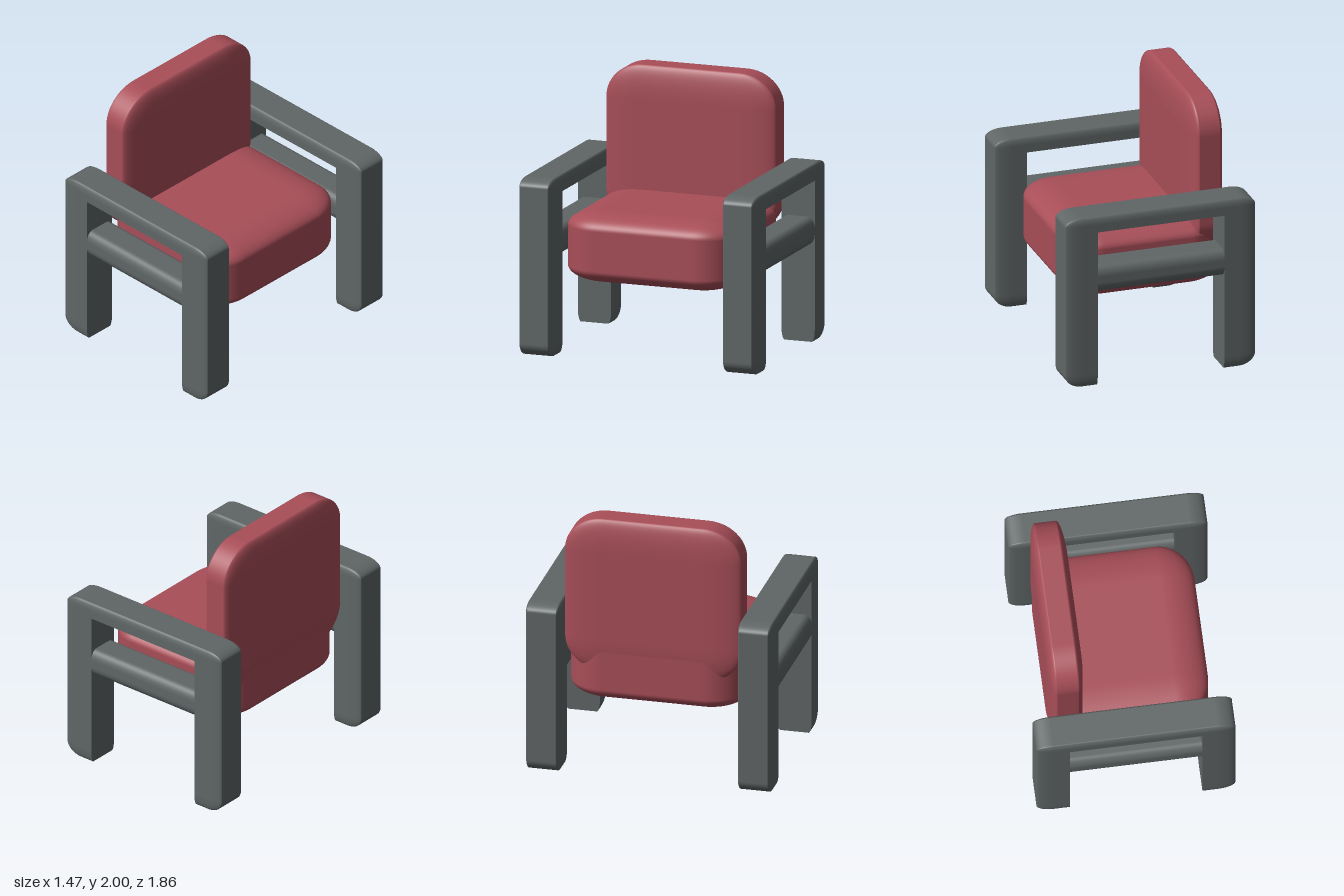
import * as THREE from 'three';

const STEPS = 8;

// Grid positions along one axis: rounded zone, flat middle, rounded zone.
// Each entry holds the core position c, the radius r and the signed offset v in radii.
function axis([lo, hi], [rLo, rHi]) {
  const list = [];
  if (rLo > 0) {
    for (let i = STEPS; i >= 1; i--) list.push({ c: lo + rLo, r: rLo, v: -Math.tan((Math.PI / 4) * (i / STEPS)) });
  }
  list.push({ c: lo + rLo, r: rLo, v: 0 });
  list.push({ c: hi - rHi, r: rHi, v: 0 });
  if (rHi > 0) {
    for (let i = 1; i <= STEPS; i++) list.push({ c: hi - rHi, r: rHi, v: Math.tan((Math.PI / 4) * (i / STEPS)) });
  }
  return list;
}

// Box with elliptical rounding; a radius of 0 leaves that side flat and sharp.
function softBox(ranges, radii) {
  const axes = ranges.map((range, i) => axis(range, radii[i]));
  const segs = axes.map((a) => a.length - 1);
  const geometry = new THREE.BoxGeometry(1, 1, 1, ...segs);
  const pos = geometry.attributes.position;
  const nor = geometry.attributes.normal;
  const v = new THREE.Vector3();
  const n = new THREE.Vector3();
  for (let i = 0; i < pos.count; i++) {
    const at = axes.map((a, k) => a[Math.round((pos.getComponent(i, k) + 0.5) * segs[k])]);
    v.set(at[0].v, at[1].v, at[2].v);
    const length = v.length();
    if (length > 0) {
      const largest = Math.max(Math.abs(v.x), Math.abs(v.y), Math.abs(v.z));
      v.multiplyScalar(largest / length);
    }
    pos.setXYZ(i, at[0].c + v.x * at[0].r, at[1].c + v.y * at[1].r, at[2].c + v.z * at[2].r);
    // rounded faces get the ellipsoid normal, flat cut faces keep their own
    const faceAxis = [0, 1, 2].find((k) => Math.abs(nor.getComponent(i, k)) > 0.5);
    if (at[faceAxis].r > 0) {
      n.set(...at.map((a, k) => (a.r > 0 ? v.getComponent(k) / a.r : 0))).normalize();
      nor.setXYZ(i, n.x, n.y, n.z);
    }
  }
  return geometry;
}

export function createModel() {
  const model = new THREE.Group();
  model.name = 'armchair';

  const fabric = new THREE.MeshStandardMaterial({ color: 0xa84e58 });
  fabric.name = 'red fabric';
  const wood = new THREE.MeshStandardMaterial({ color: 0x606666 });
  wood.name = 'grey frame';

  const add = (parent, name, material, ranges, radii) => {
    const mesh = new THREE.Mesh(softBox(ranges, radii), material);
    mesh.name = name;
    parent.add(mesh);
  };

  // Cushions
  add(model, 'seatCushion', fabric,
    [[-0.598, 0.6], [0.54, 1.07], [-0.668, 0.668]],
    [[0.26, 0.26], [0.115, 0.115], [0.29, 0.29]]);
  add(model, 'backCushion', fabric,
    [[-0.602, -0.336], [0.79, 2], [-0.668, 0.668]],
    [[0.057, 0.057], [0.26, 0.26], [0.29, 0.29]]);

  // Side frames: two posts, an armrest and a rounded rail each
  const depth = [-0.131, 0.131];
  const rz = [0.024, 0.024];
  for (const side of [1, -1]) {
    const frame = new THREE.Group();
    frame.name = side > 0 ? 'leftSideFrame' : 'rightSideFrame';
    frame.position.z = side * 0.8;
    add(frame, 'frontPost', wood, [[0.49, 0.735], [0, 1.335], depth], [[0, 0.13], [0.1, 0.06], rz]);
    add(frame, 'rearPost', wood, [[-0.735, -0.49], [0, 1.335], depth], [[0.13, 0], [0.1, 0.06], rz]);
    add(frame, 'armrest', wood, [[-0.49, 0.49], [1.215, 1.335], depth], [[0, 0], [0, 0.06], rz]);
    add(frame, 'sideRail', wood, [[-0.49, 0.49], [0.73, 0.94], depth], [[0, 0], [0.08, 0.08], [0.06, 0.06]]);
    model.add(frame);
  }
  return model;
}
